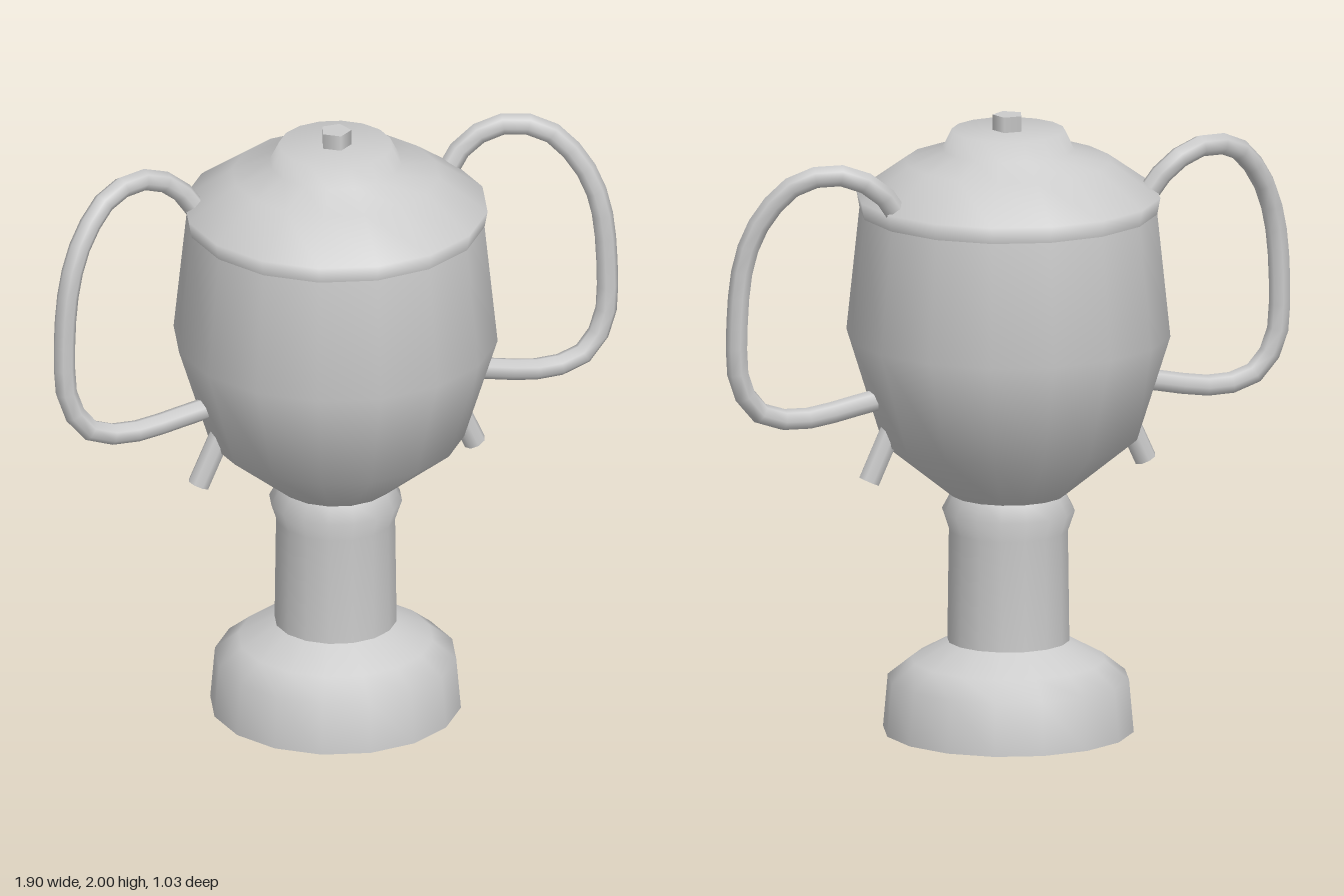
import * as THREE from 'three';

const SIDES = 16;
const PHASE = -0.07;
const material = new THREE.MeshStandardMaterial({ color: 0xcccccc, side: THREE.DoubleSide });

function addMesh(parent, name, geometry) {
  const mesh = new THREE.Mesh(geometry, material);
  mesh.name = name;
  parent.add(mesh);
  return mesh;
}

// Smooth turned part from [radius, height] pairs, bottom to top
function turned(profile) {
  return new THREE.LatheGeometry(profile.map(([r, y]) => new THREE.Vector2(r, y)), SIDES, PHASE);
}

// Round rod between two points
function rod(parent, name, a, b, radius, sides) {
  const mesh = addMesh(parent, name, new THREE.CylinderGeometry(radius, radius, a.distanceTo(b), sides));
  mesh.position.copy(a).add(b).multiplyScalar(0.5);
  mesh.quaternion.setFromUnitVectors(new THREE.Vector3(0, 1, 0), b.clone().sub(a).normalize());
}

export function createModel() {
  const group = new THREE.Group();
  group.name = 'trophyCup';

  // Foot with its flat underside
  addMesh(group, 'foot', turned([[0.4, 0], [0.385, 0.17], [0.31, 0.23], [0.19, 0.295]]));
  addMesh(group, 'footUnderside', turned([[0, 0.002], [0.4, 0]]));

  // Stem and its collar
  addMesh(group, 'stem', turned([[0.195, 0.28], [0.19, 0.65], [0.212, 0.715], [0.18, 0.775]]));

  // Bowl
  addMesh(group, 'bowl', turned([[0.18, 0.765], [0.41, 0.95], [0.517, 1.29], [0.475, 1.69]]));

  // Lid with overhanging rim and raised top
  addMesh(group, 'lid', turned([
    [0.475, 1.685], [0.485, 1.74], [0.33, 1.85], [0.21, 1.89], [0.18, 1.95], [0, 1.95],
  ]));

  // Five-sided knob
  const knob = addMesh(group, 'knob', new THREE.CylinderGeometry(0.05, 0.05, 0.07, 5));
  knob.position.y = 1.965;

  // Handles lean back at the top; a short spur sits under each
  const path = [
    [0.42, 1.73, -0.125], [0.49, 1.82, -0.135], [0.61, 1.875, -0.115], [0.74, 1.85, -0.075],
    [0.84, 1.74, -0.035], [0.895, 1.6, -0.01], [0.917, 1.36, 0], [0.905, 1.2, 0.005],
    [0.84, 1.095, 0.01], [0.72, 1.06, 0.01], [0.43, 1.105, 0.01],
  ];
  for (const [side, s] of [['left', 1], ['right', -1]]) {
    const points = path.map(([x, y, z]) => new THREE.Vector3(s * x, y, z));
    const curve = new THREE.CatmullRomCurve3(points, false, 'centripetal');
    addMesh(group, side + 'Handle', new THREE.TubeGeometry(curve, 20, 0.035, 7));
    rod(group, side + 'Spur', new THREE.Vector3(s * 0.385, 1.02, 0.01),
      new THREE.Vector3(s * 0.467, 0.84, 0.01), 0.036, 8);
  }
  return group;
}
